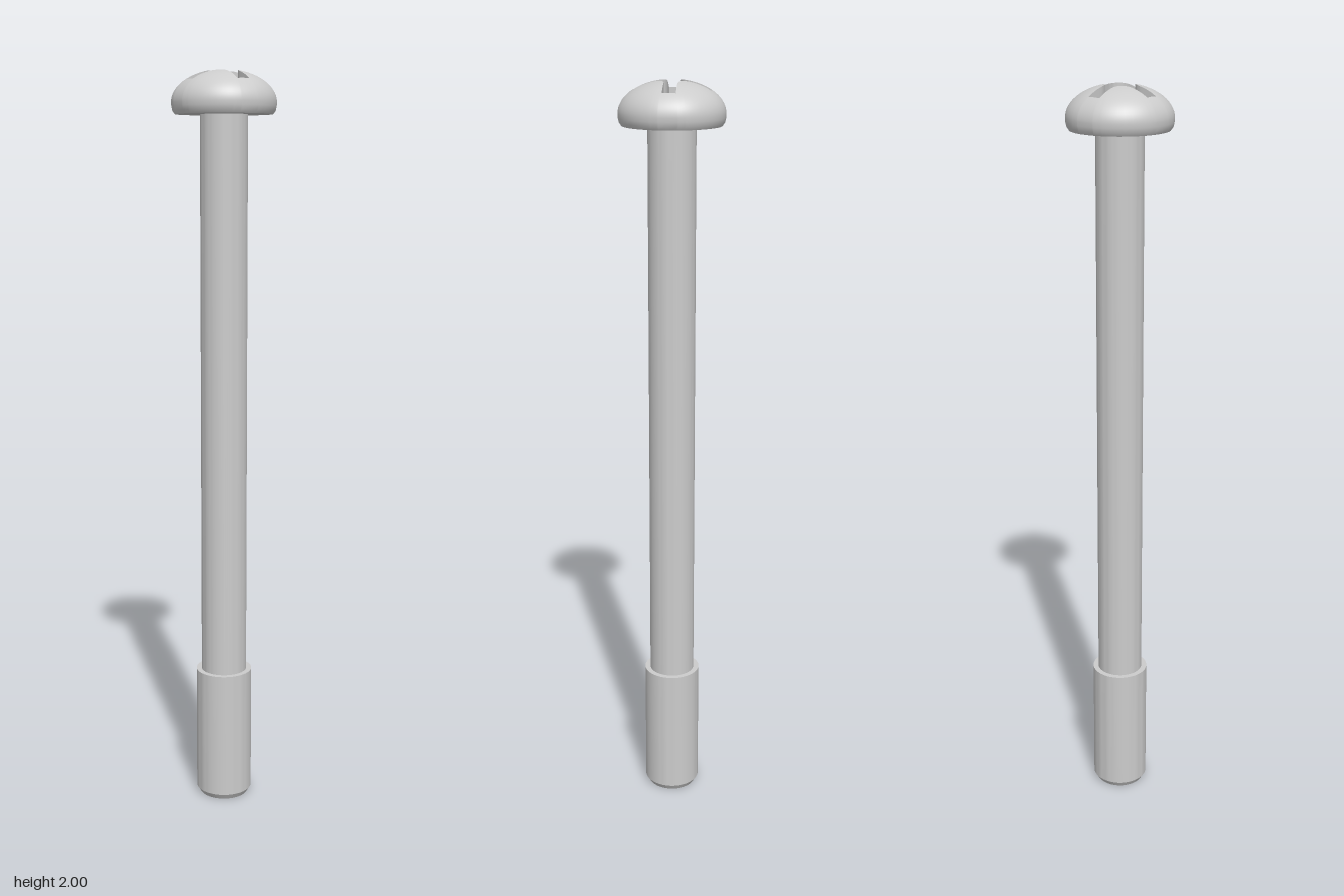
import * as THREE from 'three';
import { toCreasedNormals } from 'three/addons/utils/BufferGeometryUtils.js';

const SEG = 64;
const HEAD_R = 0.137, HEAD_Y = 1.92, DOME_H = 0.083, HEAD_BASE = 1.89;
const SLOT_L = 0.1, SLOT_W = 0.017, FILLET = 0.035, SLOT_FLOOR = 1.935;

const material = new THREE.MeshStandardMaterial({ color: 0xcccccc });

function addMesh(group, name, geometry) {
  const mesh = new THREE.Mesh(geometry, material);
  mesh.name = name;
  group.add(mesh);
}

// Turned part with sharp edges, profile listed from bottom to top
function turned(points) {
  const profile = points.map(([r, y]) => new THREE.Vector2(r, y));
  return toCreasedNormals(new THREE.LatheGeometry(profile, SEG), 0.5);
}

// Cross outline with filleted inner corners, counter-clockwise in (x, -z)
function crossOutline() {
  const c = SLOT_W + FILLET;
  const quarter = [[SLOT_L, 0]];
  for (let i = 0; i < 4; i++) quarter.push([SLOT_L + (c - SLOT_L) * i / 4, SLOT_W]);
  for (let i = 0; i <= 10; i++) {
    const a = -Math.PI / 2 - (i / 10) * Math.PI / 2;
    quarter.push([c + FILLET * Math.cos(a), c + FILLET * Math.sin(a)]);
  }
  for (let i = 3; i >= 0; i--) quarter.push([SLOT_W, SLOT_L + (c - SLOT_L) * i / 4]);
  const outline = [];
  for (let q = 0; q < 4; q++) {
    for (const [x, y] of quarter) {
      outline.push(new THREE.Vector2(x, y).rotateAround(new THREE.Vector2(), q * Math.PI / 2));
    }
  }
  return outline;
}

const domeY = (r) => HEAD_Y + DOME_H * Math.sqrt(Math.max(0, 1 - (r / HEAD_R) ** 2));

// Surface through closed rings of equal length, from inner/top to outer/bottom
function skinRings(rings) {
  const n = rings[0].length, index = [];
  for (let j = 0; j < rings.length - 1; j++) {
    for (let i = 0; i < n; i++) {
      const a = j * n + i, b = j * n + (i + 1) % n;
      index.push(a, a + n, b, b, a + n, b + n);
    }
  }
  const geometry = new THREE.BufferGeometry().setFromPoints(rings.flat());
  geometry.setIndex(index);
  geometry.computeVertexNormals();
  return geometry;
}

// Dome running from the cross outline out to the rim, then down the rounded skirt
function domeGeometry(outline) {
  const rings = [];
  const ring = (radiusAt, heightAt) => rings.push(outline.map((p) => {
    const r = radiusAt(p.length()), a = p.angle();
    return new THREE.Vector3(r * Math.cos(a), heightAt(r), -r * Math.sin(a));
  }));
  const rows = 14;
  for (let j = 0; j <= rows; j++) {
    ring((r0) => {
      const start = Math.asin(r0 / HEAD_R);
      return HEAD_R * Math.sin(start + (Math.PI / 2 - start) * j / rows);
    }, domeY);
  }
  for (const [r, y] of [[0.1365, 1.91], [0.134, 1.899], [0.128, HEAD_BASE]]) ring(() => r, () => y);
  return skinRings(rings);
}

// Upright walls of the recess, facing inward
function slotWalls(outline) {
  const at = (height) => outline.map((p) => new THREE.Vector3(p.x, height(p.length()), -p.y));
  return toCreasedNormals(skinRings([at(() => SLOT_FLOOR), at(domeY)]), 0.6);
}

export function createModel() {
  const group = new THREE.Group();
  group.name = 'screw';
  const outline = crossOutline();

  // Head with cross recess
  const head = new THREE.Group();
  head.name = 'head';
  addMesh(head, 'headDome', domeGeometry(outline));
  addMesh(head, 'headUnderside', turned([[0.06, HEAD_BASE], [0.128, HEAD_BASE]]));
  addMesh(head, 'recessWalls', slotWalls(outline));
  const floor = new THREE.ShapeGeometry(new THREE.Shape(outline));
  floor.rotateX(-Math.PI / 2).translate(0, SLOT_FLOOR, 0);
  addMesh(head, 'recessFloor', floor);
  group.add(head);

  // Plain shank
  addMesh(group, 'shank', turned([[0.0625, 0.37], [0.0625, HEAD_BASE]]));

  // Wider end section with chamfered tip
  addMesh(group, 'endSection', turned([
    [0, 0], [0.067, 0], [0.077, 0.016], [0.077, 0.37], [0.06, 0.37],
  ]));
  return group;
}
